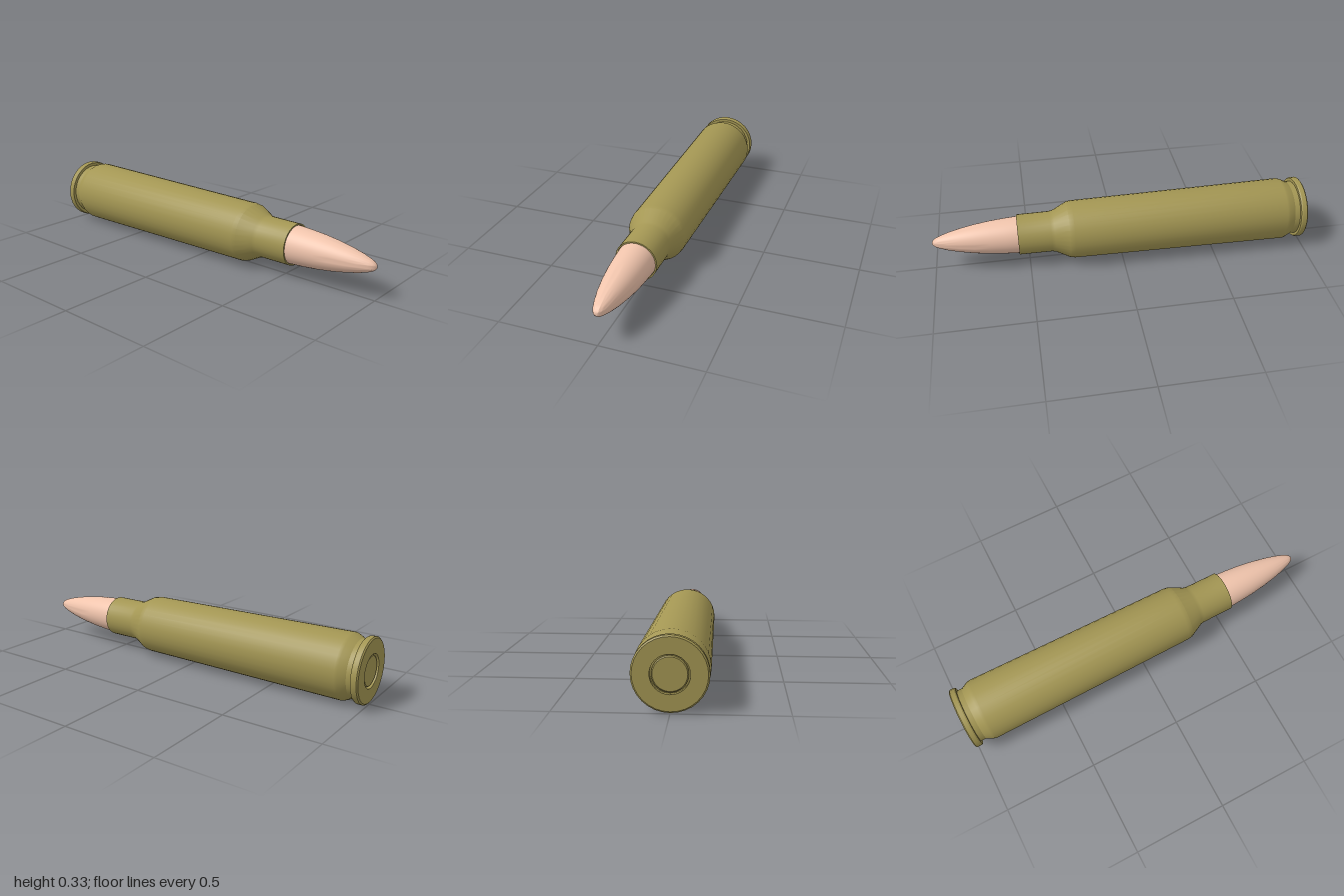
import * as THREE from 'three';
import { toCreasedNormals } from 'three/addons/utils/BufferGeometryUtils.js';

const AXIS_HEIGHT = 0.167;
const BRASS = new THREE.MeshStandardMaterial({ color: 0xa39653 });
const COPPER = new THREE.MeshStandardMaterial({ color: 0xf0c4ac });

// Turns a profile of [position along the length, radius] pairs around the long axis.
function turned(name, profile, material, sides, crease) {
  const points = profile.map(([along, radius]) => new THREE.Vector2(radius, along));
  const lathe = new THREE.LatheGeometry(points, sides);
  lathe.rotateZ(-Math.PI / 2);
  const mesh = new THREE.Mesh(toCreasedNormals(lathe, crease), material);
  mesh.name = name;
  mesh.position.y = AXIS_HEIGHT;
  return mesh;
}

export function createModel() {
  const model = new THREE.Group();
  model.name = 'cartridge';

  // Case: base, rim, extractor groove, tapered body, shoulder, neck and open mouth
  model.add(turned('case', [
    [-0.98, 0], [-0.98, 0.085], [-1, 0.085], [-1, 0.158],
    [-0.994, 0.165], [-0.97, 0.165], [-0.963, 0.161], [-0.963, 0.145],
    [-0.935, 0.145], [-0.9, 0.163], [-0.885, 0.167],
    [0.26, 0.154], [0.285, 0.15], [0.36, 0.112], [0.38, 0.108],
    [0.553, 0.107], [0.553, 0.1], [0.5, 0.098],
  ], BRASS, 32, 0.35));

  // Primer cup set in the base, with a narrow gap around it
  model.add(turned('primer', [
    [-0.995, 0], [-0.995, 0.073], [-0.991, 0.078], [-0.98, 0.078],
  ], BRASS, 32, 0.5));

  // Bullet: curved ogive ending in a small rounded tip
  model.add(turned('bullet', [
    [0.45, 0], [0.45, 0.098], [0.553, 0.098], [0.62, 0.094], [0.7, 0.087],
    [0.78, 0.076], [0.86, 0.061], [0.92, 0.046], [0.965, 0.031],
    [0.982, 0.023], [0.992, 0.015], [0.998, 0.007], [1, 0],
  ], COPPER, 48, 0.7));

  return model;
}
